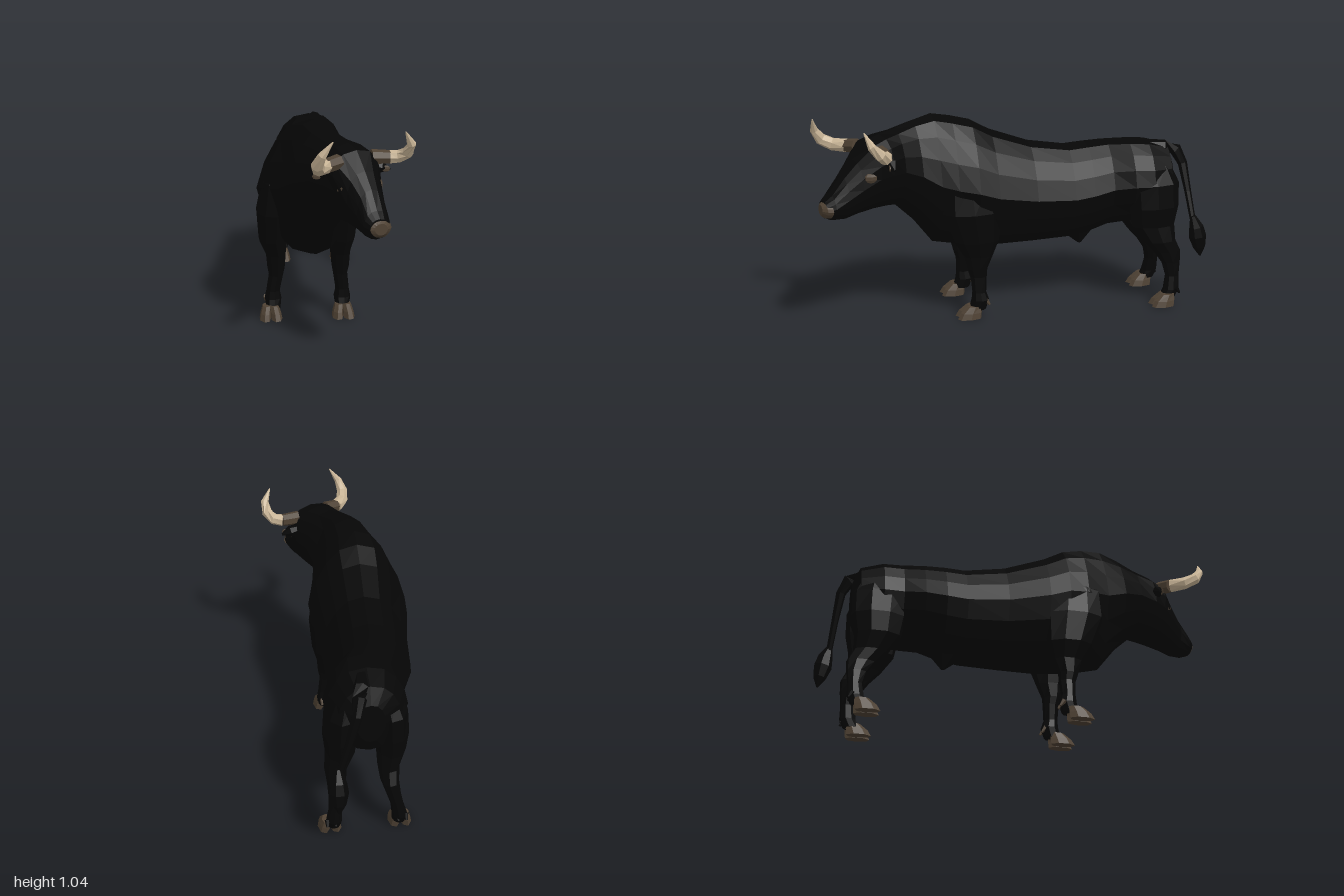
import * as THREE from 'three';

const flat = (color, name) => {
  const m = new THREE.MeshStandardMaterial({ color, flatShading: true });
  m.name = name;
  return m;
};

// Closed skin over rings that run counter-clockwise about the direction of travel
function skin(rings) {
  const n = rings[0].length, pos = [], idx = [];
  rings.forEach(r => r.forEach(p => pos.push(p.x, p.y, p.z)));
  for (let i = 0; i < rings.length - 1; i++) {
    for (let j = 0; j < n; j++) {
      const k = (j + 1) % n, a = i * n, b = a + n;
      idx.push(a + j, a + k, b + k, a + j, b + k, b + j);
    }
  }
  const last = (rings.length - 1) * n;
  for (let j = 1; j < n - 1; j++) {
    idx.push(0, j + 1, j, last, last + j, last + j + 1);
  }
  const g = new THREE.BufferGeometry();
  g.setAttribute('position', new THREE.Float32BufferAttribute(pos, 3));
  g.setIndex(idx);
  g.computeVertexNormals();
  return g;
}

const circle = (n, f) => Array.from({ length: n }, (_, j) => {
  const t = (j / n) * Math.PI * 2;
  return f(Math.cos(t), Math.sin(t));
});

// Rows of [z, centre x, half width, bottom, top, yaw shear, top taper]
const trunk = rows => skin(rows.map(([z, cx, w, lo, hi, yaw = 0, taper = 0.25]) =>
  circle(16, (c, s) => {
    const dx = Math.sign(c) * Math.abs(c) ** 0.8 * w * (1 - (s > 0 ? taper : -0.2) * s);
    return new THREE.Vector3(cx + dx, (lo + hi) / 2 + s * (hi - lo) / 2, z - dx * yaw);
  })));

// Rows of [y, centre x, centre z, x radius, z radius], from low to high
const column = (rows, n = 9) => skin(rows.map(([y, cx, cz, rx, rz]) =>
  circle(n, (c, s) => new THREE.Vector3(cx + c * rx, y, cz - s * rz))));

// Tapered tube through points of [x, y, z, radius]
function taper(points, n = 7) {
  const ps = points.map(p => new THREE.Vector3(p[0], p[1], p[2]));
  return skin(ps.map((p, i) => {
    const t = ps[Math.min(i + 1, ps.length - 1)].clone().sub(ps[Math.max(i - 1, 0)]).normalize();
    const ref = Math.abs(t.z) > 0.9 ? new THREE.Vector3(1, 0, 0) : new THREE.Vector3(0, 0, 1);
    const u = ref.addScaledVector(t, -ref.dot(t)).normalize();
    const v = new THREE.Vector3().crossVectors(t, u);
    const r = points[i][3];
    return circle(n, (c, s) => p.clone().addScaledVector(u, c * r).addScaledVector(v, s * r));
  }));
}

export function createModel() {
  const group = new THREE.Group();
  const hide = flat(0x060606, 'black hide');
  const brown = flat(0x4e4133, 'dark brown hoof');
  const ivory = flat(0xc8b496, 'pale horn');
  const add = (name, geometry, material) => {
    const m = new THREE.Mesh(geometry, material);
    m.name = name;
    group.add(m);
    return m;
  };

  // Torso, neck and turned head in one skin
  add('body', trunk([
    [-0.845, 0, 0.07, 0.54, 0.74, 0, 0.1], [-0.81, 0, 0.15, 0.47, 0.82, 0, 0.1],
    [-0.70, 0, 0.195, 0.42, 0.85, 0, 0.1], [-0.60, 0, 0.187, 0.42, 0.857, 0, 0.15],
    [-0.50, -0.04, 0.19, 0.40, 0.85], [-0.40, -0.06, 0.205, 0.36, 0.84],
    [-0.30, -0.07, 0.21, 0.34, 0.83], [-0.10, -0.08, 0.22, 0.33, 0.86],
    [0.10, -0.09, 0.245, 0.325, 0.93], [0.20, -0.09, 0.25, 0.335, 0.985],
    [0.30, -0.09, 0.225, 0.345, 1.01], [0.40, -0.07, 0.185, 0.37, 1.03, 0.1],
    [0.50, -0.05, 0.15, 0.50, 1.005, 0.2], [0.60, 0, 0.128, 0.60, 0.98, 0.3, 0.1],
    [0.68, 0.045, 0.12, 0.61, 0.97, 0.45, -0.1], [0.745, 0.077, 0.109, 0.61, 0.95, 0.47, -0.3],
    [0.82, 0.105, 0.087, 0.60, 0.87, 0.47, 0], [0.88, 0.126, 0.07, 0.585, 0.80, 0.45, 0.1],
    [0.94, 0.143, 0.062, 0.59, 0.72, 0.4, 0.1], [0.972, 0.152, 0.047, 0.605, 0.69, 0.3, 0.1],
  ]), hide);
  add('nose', trunk([
    [0.95, 0.155, 0.054, 0.603, 0.684, 0.4, 0.1], [0.972, 0.156, 0.048, 0.606, 0.682, 0.35, 0.1],
    [0.986, 0.156, 0.03, 0.62, 0.672, 0.2, 0.1],
  ]), brown);
  add('sheath', column([[0.295, -0.07, -0.385, 0.01, 0.01], [0.36, -0.07, -0.37, 0.045, 0.08]]), hide);

  // Legs
  const frontLeg = (foot, knee, shoulder, name) => add(name, column([
    [0.04, foot, 0.205, 0.036, 0.045], [0.09, foot, 0.19, 0.042, 0.045],
    [0.13, foot, 0.195, 0.034, 0.036], [0.21, knee, 0.195, 0.036, 0.042],
    [0.25, knee, 0.20, 0.044, 0.05], [0.32, knee, 0.195, 0.05, 0.075],
    [0.40, shoulder, 0.205, 0.068, 0.115], [0.55, shoulder, 0.23, 0.08, 0.15],
    [0.70, shoulder * 0.98, 0.24, 0.055, 0.13], [0.78, shoulder * 0.9, 0.23, 0.03, 0.07],
  ]), hide);
  frontLeg(-0.265, -0.25, -0.268, 'rightFrontLeg');
  frontLeg(0.08, 0.07, 0.075, 'leftFrontLeg');

  const hindLeg = (foot, hock, hip, name) => add(name, column([
    [0.04, foot, -0.79, 0.034, 0.045], [0.08, foot, -0.81, 0.038, 0.042],
    [0.15, foot * 0.7 + hock * 0.3, -0.815, 0.031, 0.036], [0.22, foot * 0.3 + hock * 0.7, -0.808, 0.036, 0.05],
    [0.28, hock, -0.787, 0.044, 0.072], [0.34, hock, -0.745, 0.052, 0.085],
    [0.42, hip, -0.715, 0.07, 0.115], [0.52, hip, -0.715, 0.082, 0.135],
    [0.64, hip * 0.95, -0.71, 0.08, 0.14], [0.73, hip * 0.8, -0.70, 0.055, 0.11],
  ]), hide);
  hindLeg(-0.148, -0.1, -0.115, 'rightHindLeg');
  hindLeg(0.165, 0.15, 0.125, 'leftHindLeg');

  // Cloven hooves, two claws and two dewclaws each
  const hoof = (x, z, dew, dewMaterial) => {
    for (const s of [-1, 1]) {
      add('hoof', column([
        [0, x + s * 0.028, z, 0.029, 0.062], [0.03, x + s * 0.025, z - 0.01, 0.026, 0.055],
        [0.062, x + s * 0.018, z - 0.028, 0.022, 0.036],
      ], 7), brown);
      add('dewclaw', taper([[x + s * 0.018, 0.09, dew + 0.02, 0.014], [x + s * 0.02, 0.062, dew, 0.006]], 5), dewMaterial);
    }
  };
  for (const x of [-0.28, 0.08]) hoof(x, 0.25, 0.145, brown);
  for (const x of [-0.157, 0.18]) hoof(x, -0.755, -0.845, hide);

  // Tail and tuft
  add('tail', taper([
    [0.02, 0.805, -0.72, 0.04], [0.04, 0.805, -0.80, 0.036], [0.055, 0.79, -0.855, 0.034],
    [0.07, 0.72, -0.89, 0.025], [0.11, 0.58, -0.908, 0.018], [0.16, 0.42, -0.925, 0.015],
  ]), hide);
  add('tailTuft', taper([
    [0.16, 0.46, -0.92, 0.015], [0.16, 0.40, -0.94, 0.038], [0.16, 0.35, -0.95, 0.046],
    [0.16, 0.29, -0.962, 0.032], [0.16, 0.24, -0.97, 0.004],
  ]), hide);

  // Horns with dark roots
  const horn = (side, pts) => {
    add(side + 'HornRoot', taper(pts.slice(0, 2)), brown);
    add(side + 'Horn', taper(pts.slice(1)), ivory);
  };
  horn('right', [
    [-0.005, 0.905, 0.775, 0.036], [-0.068, 0.895, 0.815, 0.034], [-0.108, 0.898, 0.88, 0.032],
    [-0.118, 0.925, 0.935, 0.029], [-0.1, 0.975, 0.968, 0.02], [-0.055, 1.037, 0.98, 0.003],
  ]);
  horn('left', [
    [0.15, 0.905, 0.69, 0.036], [0.235, 0.9, 0.68, 0.032], [0.28, 0.905, 0.69, 0.03],
    [0.312, 0.93, 0.72, 0.028], [0.322, 0.975, 0.76, 0.021], [0.29, 1.037, 0.79, 0.003],
  ]);

  // Ears with a thin brown lining on the front
  const ear = (side, root, mid, tip) => {
    add(side + 'Ear', taper([[...root, 0.015], [...mid, 0.03], [...tip, 0.005]], 6), hide);
    const lining = add(side + 'EarLining', new THREE.SphereGeometry(0.022, 7, 4), brown);
    lining.position.set((mid[0] + tip[0]) / 2, (mid[1] + tip[1]) / 2, (mid[2] + tip[2]) / 2 + 0.018);
    lining.scale.set(1, 0.7, 0.2);
  };
  ear('right', [-0.02, 0.86, 0.735], [-0.075, 0.848, 0.74], [-0.13, 0.825, 0.735]);
  ear('left', [0.14, 0.86, 0.66], [0.20, 0.85, 0.645], [0.245, 0.835, 0.64]);

  // Eyes set into the sides of the turned head
  for (const [name, x, z, turn] of [['rightEye', 0.008, 0.825, 0.9], ['leftEye', 0.18, 0.745, 0]]) {
    const eye = add(name, new THREE.SphereGeometry(0.036, 8, 5), brown);
    eye.position.set(x, 0.79, z);
    eye.scale.set(0.45, 0.75, 1);
    eye.rotation.y = turn;
  }
  return group;
}
